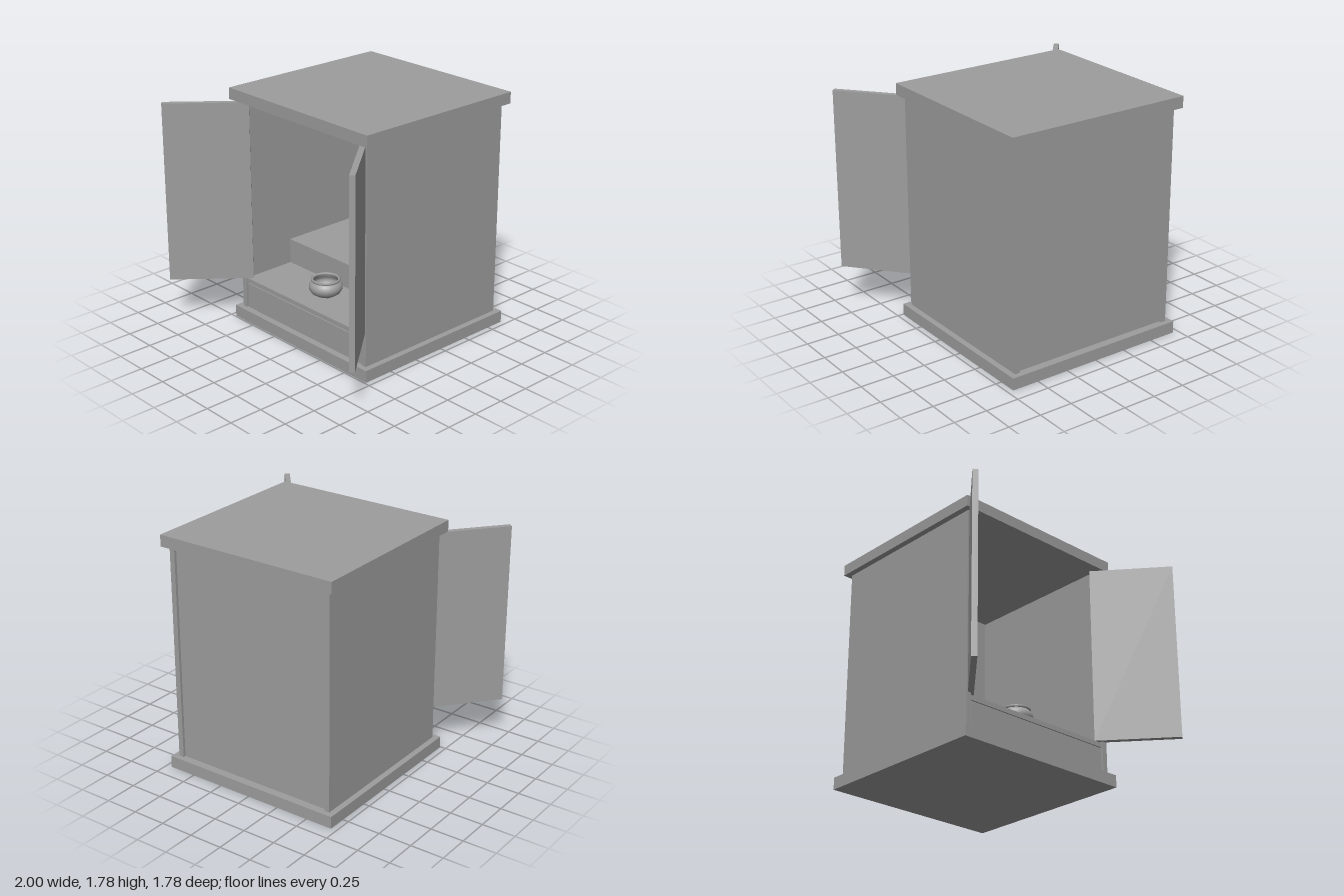
import * as THREE from 'three';

const grey = new THREE.MeshStandardMaterial({ color: 0x9d9d9d });
const greyDouble = new THREE.MeshStandardMaterial({ color: 0x9d9d9d, side: THREE.DoubleSide });

// Box given by its extents along each axis
function box(name, [x0, x1], [y0, y1], [z0, z1]) {
  const mesh = new THREE.Mesh(new THREE.BoxGeometry(x1 - x0, y1 - y0, z1 - z0), grey);
  mesh.position.set((x0 + x1) / 2, (y0 + y1) / 2, (z0 + z1) / 2);
  mesh.name = name;
  return mesh;
}

// Round incense bowl on three small feet, standing on y = 0
function createBowl() {
  const bowl = new THREE.Group();
  bowl.name = 'incenseBowl';
  const outer = [[0, 0.011], [0.05, 0.012], [0.08, 0.019], [0.105, 0.036], [0.119, 0.058], [0.122, 0.078],
    [0.119, 0.096], [0.11, 0.11], [0.099, 0.118], [0.097, 0.123]];
  const rim = [[0.097, 0.123], [0.104, 0.126], [0.105, 0.137], [0.101, 0.14], [0.092, 0.14], [0.089, 0.134]];
  const inner = [[0.089, 0.134], [0.09, 0.116], [0.108, 0.096], [0.11, 0.076], [0.1, 0.046], [0.06, 0.028], [0, 0.025]];
  for (const [name, pts] of [['bowlBody', outer], ['bowlRim', rim], ['bowlInside', inner]]) {
    const profile = pts.map(([r, y]) => new THREE.Vector2(r, y));
    const mesh = new THREE.Mesh(new THREE.LatheGeometry(profile, 40), greyDouble);
    mesh.name = name;
    bowl.add(mesh);
  }
  for (let i = 0; i < 3; i++) {
    const a = Math.PI / 6 + (i * Math.PI * 2) / 3;
    const foot = new THREE.Mesh(new THREE.CylinderGeometry(0.013, 0.009, 0.022, 12), grey);
    foot.position.set(0.046 * Math.cos(a), 0.011, 0.046 * Math.sin(a));
    foot.name = 'bowlFoot';
    bowl.add(foot);
  }
  return bowl;
}

export function createModel() {
  const cabinet = new THREE.Group();
  cabinet.name = 'cabinet';

  // Overhanging base and roof boards
  cabinet.add(box('base', [-0.707, 0.707], [0, 0.09], [-0.89, 0.49]));
  cabinet.add(box('roof', [-0.707, 0.707], [1.7, 1.785], [-0.89, 0.49]));

  // Side walls and open doors, mirrored
  for (const s of [1, -1]) {
    const side = s > 0 ? 'left' : 'right';
    const wall = box(side + 'Wall', [-0.02, 0.02], [0.09, 1.7], [-0.85, 0.45]);
    wall.position.x = s * 0.643;
    cabinet.add(wall);

    const door = new THREE.Mesh(new THREE.BoxGeometry(0.614, 1.357, 0.04), grey);
    door.position.set(s * 0.787, 1.0125, 0.642);
    door.rotation.y = -s * THREE.MathUtils.degToRad(50);
    door.name = side + 'Door';
    cabinet.add(door);
  }

  // Back panel, set slightly in from the wall ends
  cabinet.add(box('backPanel', [-0.623, 0.623], [0.09, 1.7], [-0.83, -0.775]));

  // Floor shelf, raised rear step and drawer
  cabinet.add(box('shelf', [-0.623, 0.623], [0.29, 0.325], [-0.775, 0.44]));
  cabinet.add(box('rearStep', [-0.623, 0.623], [0.325, 0.515], [-0.775, 0.02]));
  cabinet.add(box('drawer', [-0.612, 0.612], [0.09, 0.284], [-0.2, 0.44]));

  const bowl = createBowl();
  bowl.position.set(0, 0.325, 0.22);
  cabinet.add(bowl);

  return cabinet;
}
